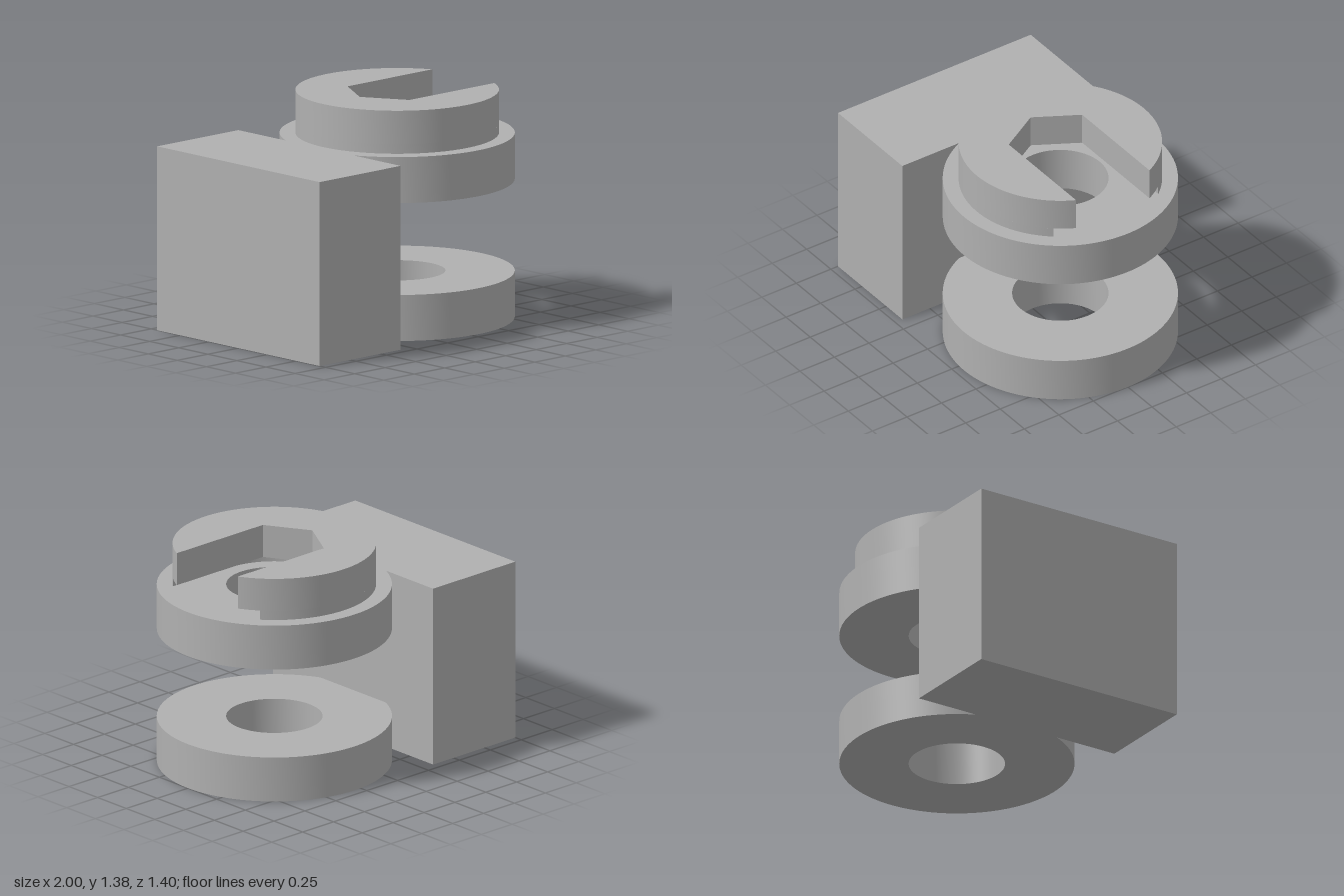
import * as THREE from 'three';
import { toCreasedNormals } from 'three/addons/utils/BufferGeometryUtils.js';

const CX = 0.302;        // shared axis of the rings and collar
const RING_R = 0.698, HOLE_R = 0.286, RING_H = 0.279;
const COLLAR_R = 0.604;
const BLOCK_H = 1.116, BLOCK_FACE = -0.335;

// Extrude a plan shape upwards from y0 to y1, smooth round the curves
function extrudeUp(shape, y0, y1) {
  const geo = new THREE.ExtrudeGeometry(shape, { depth: y1 - y0, bevelEnabled: false, curveSegments: 72 });
  geo.rotateX(-Math.PI / 2);
  geo.translate(CX, y0, 0);
  return toCreasedNormals(geo, 0.5);
}

// Ring with a bore, trimmed flat where it meets the block
function ringShape() {
  const a = Math.acos((BLOCK_FACE - CX) / RING_R);
  const shape = new THREE.Shape();
  shape.absarc(0, 0, RING_R, -a, a, false);
  shape.closePath();
  shape.holes.push(new THREE.Path().absarc(0, 0, HOLE_R, 0, Math.PI * 2, true));
  return shape;
}

// Collar open towards +x by a slot of half width w, with a hexagonal or round end
function collarShape(w, roundEnd) {
  const t = Math.asin(w / COLLAR_R);
  const shape = new THREE.Shape();
  shape.absarc(0, 0, COLLAR_R, t, Math.PI * 2 - t, false);
  if (roundEnd) {
    shape.absarc(0, 0, w, -Math.PI / 2, Math.PI / 2, true);
  } else {
    const side = w / Math.sqrt(3);
    shape.lineTo(-side, -w);
    shape.lineTo(-2 * side, 0);
    shape.lineTo(-side, w);
  }
  shape.closePath();
  return shape;
}

export function createModel() {
  const group = new THREE.Group();
  const grey = new THREE.MeshStandardMaterial({ color: 0xb0b0b0 });
  grey.name = 'grey';
  const add = (name, geo) => {
    const mesh = new THREE.Mesh(geo, grey);
    mesh.name = name;
    group.add(mesh);
  };

  // Upright block
  const width = BLOCK_FACE + 1;
  const block = new THREE.BoxGeometry(width, BLOCK_H, RING_R * 2);
  block.translate(-1 + width / 2, BLOCK_H / 2, 0);
  add('block', block);

  // Two bored rings
  add('lowerRing', extrudeUp(ringShape(), 0, RING_H));
  add('upperRing', extrudeUp(ringShape(), BLOCK_H - RING_H, BLOCK_H));

  // Slotted collar with a wider undercut below
  add('collarUndercut', extrudeUp(collarShape(0.38, true), BLOCK_H, 1.174));
  add('collarTop', extrudeUp(collarShape(0.266, false), 1.174, 1.377));

  return group;
}
